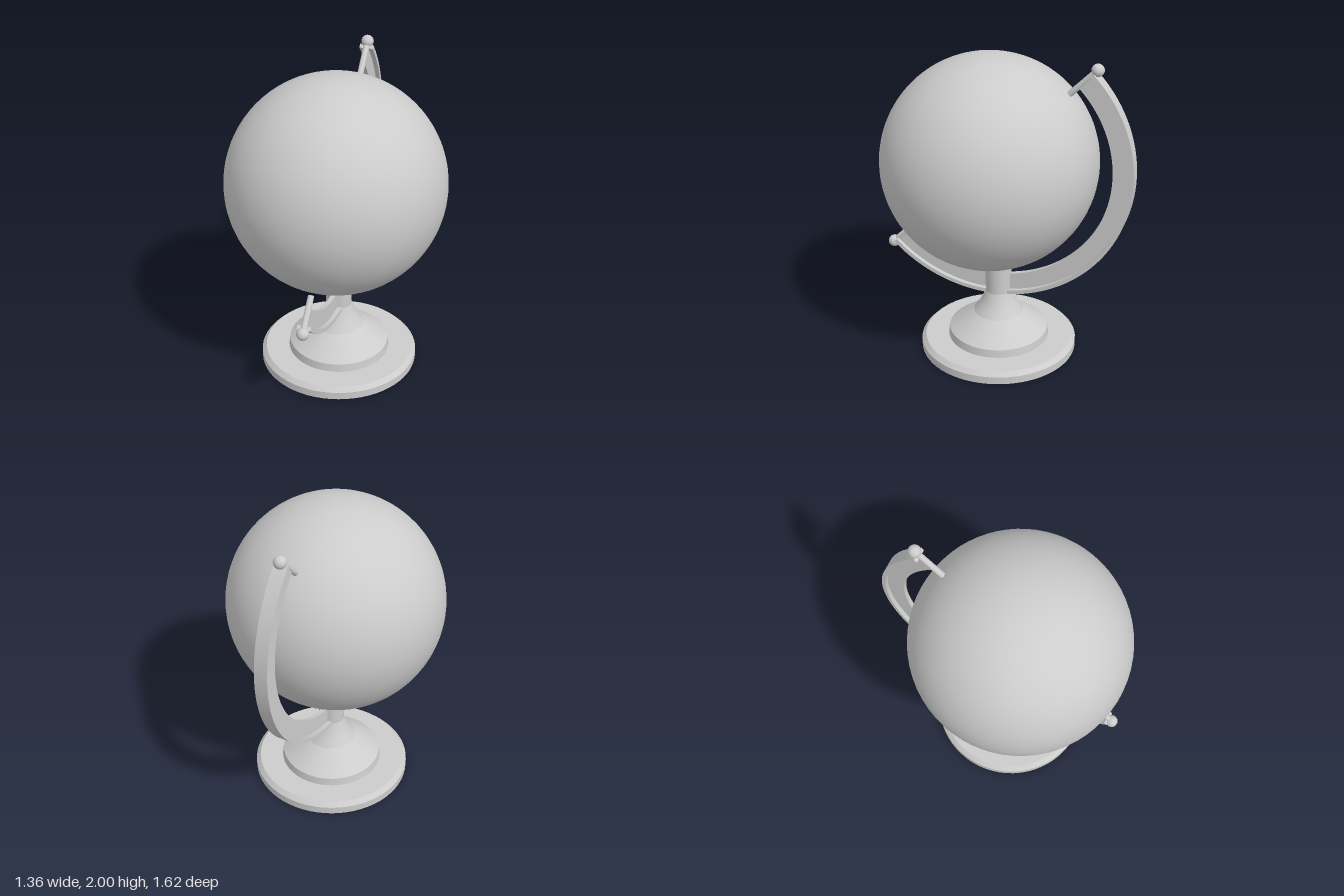
import * as THREE from 'three';
import { mergeGeometries } from 'three/addons/utils/BufferGeometryUtils.js';

export function createModel() {
  const model = new THREE.Group();
  model.name = 'deskGlobe';
  const grey = new THREE.MeshStandardMaterial({ color: 0xcccccc });
  grey.name = 'plainGrey';

  const CENTRE_Y = 1.3, CENTRE_Z = 0.11, STAND_Z = 0.055;

  function add(name, geometry, parent = model) {
    const mesh = new THREE.Mesh(geometry, grey);
    mesh.name = name;
    parent.add(mesh);
    return mesh;
  }

  // Lathe made of separately smoothed runs, so edges between runs stay sharp
  function turned(runs) {
    return mergeGeometries(runs.map((run) =>
      new THREE.LatheGeometry(run.map(([r, y]) => new THREE.Vector2(r, y)), 64)));
  }

  // Round stepped foot with a flared neck and a straight post
  add('stand', turned([
    [[0, 0], [0.505, 0]],
    [[0.505, 0], [0.505, 0.05]],
    [[0.505, 0.05], [0.478, 0.078]],
    [[0.478, 0.078], [0.327, 0.078]],
    [[0.327, 0.078], [0.32, 0.13]],
    [[0.32, 0.13], [0.16, 0.25]],
    [[0.16, 0.25], [0.125, 0.3], [0.1, 0.35], [0.083, 0.4]],
    [[0.083, 0.4], [0.083, 0.595]],
    [[0.083, 0.595], [0, 0.595]],
  ])).position.z = STAND_Z;

  // Everything centred on the ball
  const upper = new THREE.Group();
  upper.name = 'globeAndArm';
  upper.position.set(0, CENTRE_Y, CENTRE_Z);
  model.add(upper);

  add('globe', new THREE.SphereGeometry(0.68, 64, 48), upper);

  // Half-ring arm with a T section: thin web and wider outer flange
  function halfRing(inner, outer, width) {
    const from = Math.PI / 4, to = -Math.PI * 3 / 4;
    const shape = new THREE.Shape();
    shape.absarc(0, 0, outer, from, to, true);
    shape.absarc(0, 0, inner, to, from, false);
    shape.closePath();
    const geometry = new THREE.ExtrudeGeometry(shape, { depth: width, bevelEnabled: false, curveSegments: 64 });
    return geometry.translate(0, 0, -width / 2).rotateY(Math.PI / 2);
  }
  add('armWeb', halfRing(0.78, 0.892, 0.03), upper);
  add('armFlange', halfRing(0.89, 0.916, 0.086), upper);

  // Pivot pin and ball knob at both ends of the tilted axis
  for (const [end, tilt] of [['upper', -Math.PI / 4], ['lower', Math.PI * 3 / 4]]) {
    const pivot = new THREE.Group();
    pivot.name = end + 'Pivot';
    pivot.rotation.x = tilt;
    upper.add(pivot);
    add(end + 'Pin', new THREE.CylinderGeometry(0.019, 0.019, 0.23, 24), pivot).position.y = 0.82;
    add(end + 'Knob', new THREE.SphereGeometry(0.039, 32, 20), pivot).position.y = 0.939;
  }
  return model;
}
